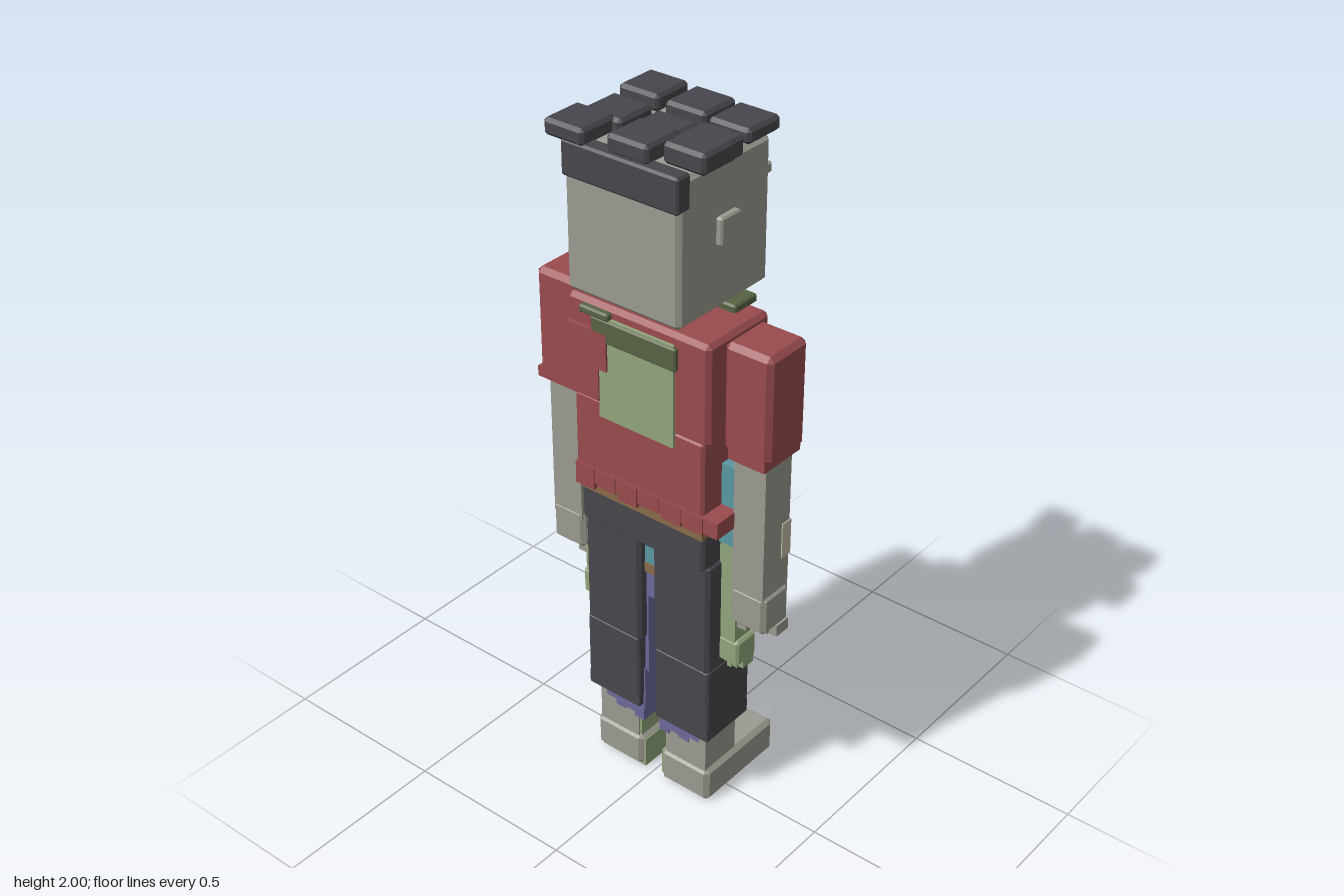
import * as THREE from 'three';
import { ConvexGeometry } from 'three/addons/geometries/ConvexGeometry.js';

const material = (name, color) => {
  const m = new THREE.MeshStandardMaterial({ color, flatShading: true });
  m.name = name;
  return m;
};

export function createModel() {
  const model = new THREE.Group();
  model.name = 'blockyUndeadFigure';
  const gray = material('gray skin', 0x9b9b92), red = material('red shirt', 0x994b4e);
  const dark = material('charcoal', 0x47464c), green = material('green skin', 0x92a67c);
  const moss = material('dark green hair', 0x586344), teal = material('teal shirt', 0x5b98a2);
  const purple = material('purple trousers', 0x6c6a9c), brown = material('brown belt', 0x8a6b48);
  const bone = material('bone', 0xc4bda8);

  // Box given by its limits, with chamfered edges when bevel > 0
  function box(name, mat, [x0, x1], [y0, y1], [z0, z1], bevel = 0) {
    const half = [(x1 - x0) / 2, (y1 - y0) / 2, (z1 - z0) / 2];
    let geo;
    if (bevel) {
      const pts = [];
      for (const sx of [-1, 1]) for (const sy of [-1, 1]) for (const sz of [-1, 1])
        for (let k = 0; k < 3; k++) {
          const [a, b, c] = half.map((h, i) => (i === k ? h : h - bevel));
          pts.push(new THREE.Vector3(a * sx, b * sy, c * sz));
        }
      geo = new ConvexGeometry(pts);
    } else {
      geo = new THREE.BoxGeometry(half[0] * 2, half[1] * 2, half[2] * 2);
    }
    const mesh = new THREE.Mesh(geo, mat);
    mesh.name = name;
    mesh.position.set((x0 + x1) / 2, (y0 + y1) / 2, (z0 + z1) / 2);
    model.add(mesh);
  }
  // x limits mirrored for side s
  const side = (s, a, b) => (s > 0 ? [a, b] : [-b, -a]);

  // Head and neck
  box('head', gray, [-0.178, 0.175], [1.535, 1.925], [-0.153, 0.193], 0.012);
  box('neck', gray, [-0.072, 0.072], [1.47, 1.56], [-0.04, 0.09]);
  box('brow', gray, [-0.155, 0.16], [1.81, 1.84], [-0.18, -0.15], 0.005);
  box('nose', gray, [-0.028, 0.028], [1.675, 1.74], [-0.196, -0.15], 0.006);
  box('mouth', dark, [-0.105, 0.105], [1.605, 1.66], [-0.16, -0.152]);
  for (let i = 0; i < 4; i++) {
    const x = -0.075 + i * 0.05, up = i % 2 ? 0.015 : 0;
    box('tooth', bone, [x - 0.015, x + 0.015], [1.612 + up, 1.638 + up], [-0.168, -0.158]);
  }
  for (const s of [1, -1]) {
    box('ear', gray, side(s, 0.17, 0.192), [1.71, 1.785], [-0.02, 0.055], 0.005);
    box('eyeSocket', dark, side(s, 0.05, 0.145), [1.735, 1.8], [-0.159, -0.152]);
    box('pupil', green, side(s, 0.068, 0.105), [1.747, 1.785], [-0.163, -0.158]);
  }

  // Hair blocks: x, z, bottom, top
  const tufts = [
    [-0.152, -0.112, 1.935, 1.98], [0.006, -0.095, 1.94, 1.985], [0.145, -0.085, 1.945, 1.985],
    [-0.143, 0.035, 1.925, 1.97], [-0.002, 0.038, 1.92, 1.965], [0.135, 0.04, 1.92, 1.975],
    [-0.167, 0.142, 1.93, 1.975], [0.013, 0.125, 1.93, 1.98], [0.17, 0.112, 1.945, 2.0],
  ];
  for (const [x, z, y0, y1] of tufts)
    box('hairTuft', dark, [x - 0.062, x + 0.062], [y0, y1], [z - 0.062, z + 0.062], 0.009);
  box('backHair', dark, [-0.18, 0.176], [1.84, 1.935], [0.15, 0.2], 0.006);

  // Shirt
  box('shirtChest', red, [-0.228, 0.225], [1.2, 1.49], [-0.1, 0.14], 0.012);
  box('shirtBelly', red, [-0.212, 0.21], [0.985, 1.21], [-0.1, 0.14], 0.008);
  box('shirtHem', red, [-0.208, 0.26], [0.95, 0.998], [-0.104, 0.144]);
  const drops = [0.93, 0.945, 0.935, 0.95, 0.94, 0.945];
  drops.forEach((y, i) => {
    const x = -0.208 + i * 0.072;
    box('hemTab', red, [x, x + 0.062], [y, 0.994], [0.13, 0.147]);
    box('hemTab', red, [x, x + 0.062], [y, 0.994], [-0.107, -0.09]);
  });
  box('bellyPatch', gray, [-0.15, -0.065], [1.045, 1.13], [-0.108, -0.099]);
  box('beltBuckle', gray, [-0.03, 0.03], [0.925, 0.985], [-0.118, -0.1]);
  box('belt', brown, [-0.2, 0.205], [0.915, 0.955], [-0.094, 0.135]);

  // Arms
  for (const s of [1, -1]) {
    box('sleeve', red, side(s, 0.232, 0.375), [1.185, 1.49], [-0.056, 0.095], 0.014);
    box('sleeveCuff', red, s > 0 ? [0.25, 0.362] : [-0.38, -0.235], [1.165, 1.195], [-0.054, 0.093]);
    box('forearm', gray, side(s, 0.257, 0.355), [0.74, 1.18], [-0.03, 0.075]);
    box('hand', gray, side(s, 0.252, 0.362), [0.65, 0.77], [-0.032, 0.077], 0.012);
    for (let i = 0; i < 3; i++) {
      const x = 0.275 + i * 0.032;
      box('finger', gray, side(s, x, x + 0.024), [0.605 + i * 0.008, 0.655], [-0.03, 0.02]);
    }
    box('thumb', gray, side(s, 0.26, 0.29), [0.625, 0.655], [0.025, 0.055]);
  }
  box('forearmBone', bone, [0.262, 0.358], [0.86, 0.965], [-0.034, 0.002]);

  // Trousers, legs and feet
  box('hips', dark, [-0.205, 0.205], [0.81, 0.925], [-0.09, 0.13], 0.008);
  for (const s of [1, -1]) {
    box('thigh', dark, side(s, 0.022, 0.21), [0.465, 0.82], [-0.075, 0.115], 0.01);
    box('trouserShin', dark, side(s, 0.028, 0.211), [0.265, 0.475], [-0.068, 0.113], 0.006);
    box('trouserEdge', dark, side(s, 0.03, 0.209), [0.235, 0.28], [-0.066, 0.111]);
    box('ankle', gray, side(s, 0.05, 0.188), [0.09, 0.27], [-0.041, 0.09]);
    box('foot', gray, side(s, 0.034, 0.2), [s > 0 ? 0 : 0.005, 0.11], [-0.205, 0.097], 0.013);
  }

  // Smaller figure inside: head showing through both sides of the shirt
  box('innerHead', green, [-0.12, 0.12], [1.168, 1.46], [-0.112, 0.148]);
  box('innerBrow', green, [-0.105, 0.105], [1.375, 1.395], [-0.126, -0.11], 0.003);
  box('innerNose', green, [-0.022, 0.022], [1.265, 1.31], [-0.138, -0.11], 0.005);
  box('innerMouth', dark, [-0.075, 0.075], [1.2, 1.24], [-0.118, -0.111]);
  for (let i = 0; i < 4; i++) {
    const x = -0.054 + i * 0.036;
    box('innerTooth', bone, [x - 0.011, x + 0.011], [1.212, 1.235], [-0.124, -0.117]);
  }
  for (const s of [1, -1]) {
    box('innerEyeSocket', dark, side(s, 0.035, 0.1), [1.32, 1.368], [-0.118, -0.111]);
    box('innerPupil', red, side(s, 0.045, 0.08), [1.328, 1.36], [-0.122, -0.117]);
  }
  box('innerBackHair', moss, [-0.14, 0.13], [1.39, 1.455], [0.13, 0.153], 0.004);
  box('innerHairTuft', moss, [-0.175, -0.08], [1.455, 1.478], [0.1, 0.158], 0.005);
  box('innerHairTuft', moss, [0.07, 0.17], [1.485, 1.51], [-0.12, -0.03], 0.005);
  box('innerHairTuft', moss, [-0.14, -0.06], [1.465, 1.498], [-0.125, -0.06], 0.005);
  box('innerHairTuft', moss, [-0.035, 0.045], [1.45, 1.475], [-0.128, -0.08], 0.005);
  // Shirt flaps and exposed ribs over the inner head
  box('backFlap', red, [-0.222, -0.09], [1.31, 1.415], [0.135, 0.154]);
  box('backFlap', red, [-0.222, -0.118], [1.215, 1.32], [0.135, 0.152]);
  box('frontFlap', red, [0.09, 0.2], [1.27, 1.42], [-0.118, -0.095]);
  for (let i = 0; i < 3; i++)
    box('rib', gray, [0.085, 0.185], [1.285 + i * 0.04, 1.305 + i * 0.04], [-0.124, -0.117]);

  // Smaller figure's body and limbs
  box('innerTorso', teal, [-0.12, 0.12], [0.72, 1.13], [-0.055, 0.09]);
  box('innerBelt', brown, [-0.12, 0.12], [0.695, 0.725], [-0.058, 0.093]);
  box('innerBuckle', bone, [-0.02, 0.02], [0.69, 0.73], [-0.068, -0.055]);
  box('innerHips', purple, [-0.12, 0.12], [0.61, 0.7], [-0.05, 0.085]);
  for (const s of [1, -1]) {
    box('innerSleeve', teal, side(s, 0.19, 0.254), [0.88, 1.12], [-0.02, 0.065]);
    box('innerForearm', green, side(s, 0.2, 0.258), [0.55, 0.89], [-0.015, 0.06]);
    box('innerHand', green, side(s, 0.203, 0.27), [0.495, 0.575], [-0.018, 0.062], 0.007);
    for (let i = 0; i < 3; i++) {
      const x = 0.21 + i * 0.02;
      box('innerFinger', green, side(s, x, x + 0.015), [0.455 + i * 0.008, 0.5], [-0.014, 0.03]);
    }
    box('innerLeg', purple, side(s, 0.016, 0.14), [0.35, 0.62], [-0.045, 0.085]);
    box('innerShin', purple, side(s, 0.024, 0.14), [0.215, 0.36], [-0.043, 0.092]);
    [0.175, 0.19, 0.182, 0.2].forEach((y, i) => {
      const x = 0.028 + i * 0.034;
      box('innerTrouserHem', purple, side(s, x, x + 0.034), [y, 0.25], [-0.044, 0.093]);
    });
    box('innerAnkle', green, side(s, 0.044, 0.12), [0.05, 0.22], [-0.035, 0.085]);
    box('innerFoot', green, side(s, 0.03, 0.188), [s > 0 ? 0.012 : 0, 0.095], [-0.19, 0.085]);
  }
  return model;
}
